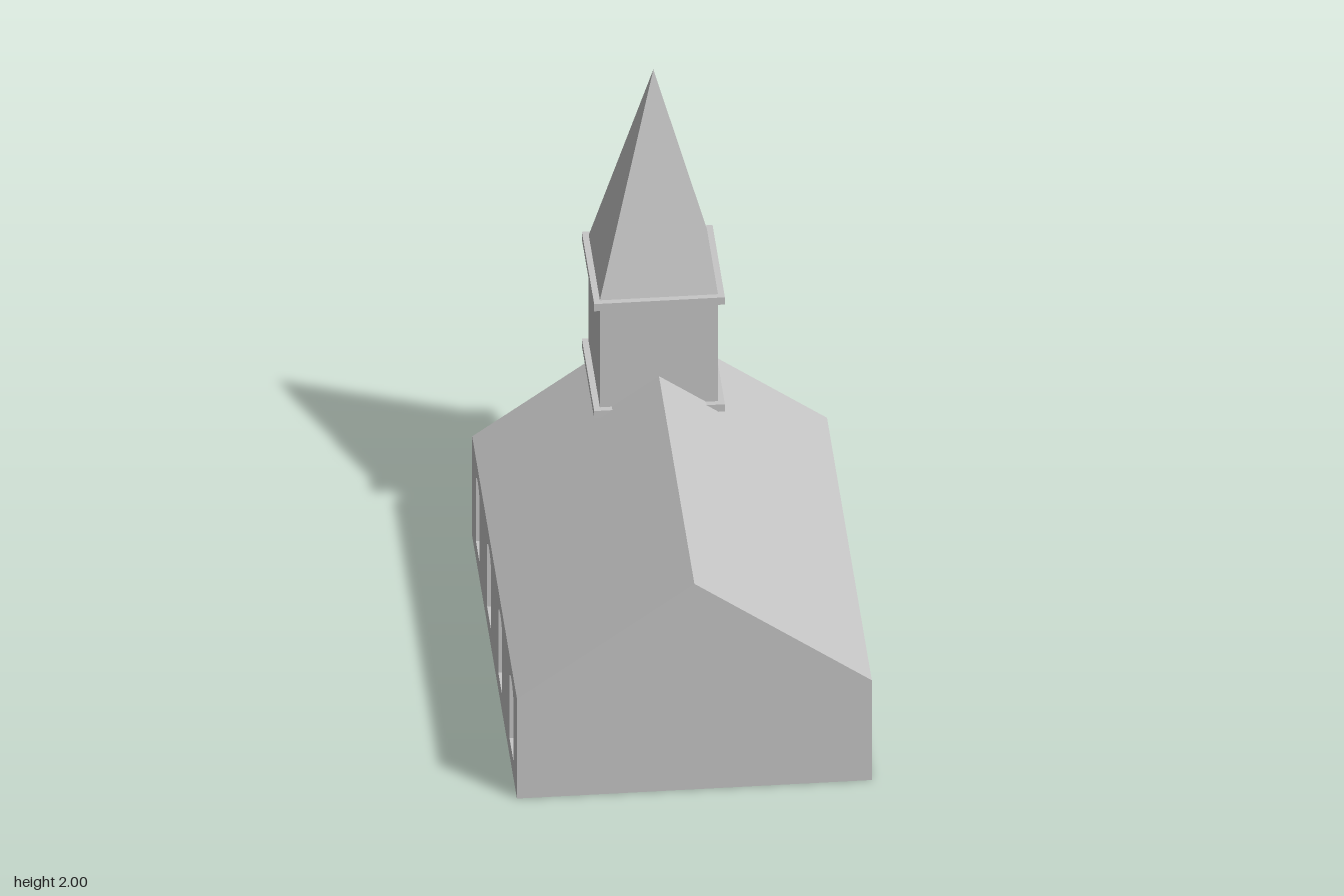
import * as THREE from 'three';

const HALF = 0.619, EAVES = 0.416, RIDGE = 0.857;   // nave section
const FRONT = 0.873, BACK = -0.78;                  // nave ends
const T = 0.03;                                     // wall thickness = recess depth
const TW = 0.206, TZ = -0.641;                      // tower half width and centre
const OPEN_W = 0.07, SPRING = 0.262, RISE = 0.03;   // arched opening

const stone = new THREE.MeshStandardMaterial({ color: 0xc6c6c6 });
stone.name = 'grey stone';

export function createModel() {
  const model = new THREE.Group();
  model.name = 'church';

  const add = (name, geometry, x = 0, y = 0, z = 0, turn = 0) => {
    const mesh = new THREE.Mesh(geometry, stone);
    mesh.name = name;
    mesh.position.set(x, y, z);
    mesh.rotation.y = turn;
    model.add(mesh);
    return mesh;
  };
  const box = (name, w, y0, y1, z0, z1) =>
    add(name, new THREE.BoxGeometry(w, y1 - y0, z1 - z0), 0, (y0 + y1) / 2, (z0 + z1) / 2);
  const polygon = (points) => new THREE.Shape(points.map(([x, y]) => new THREE.Vector2(x, y)));
  const slab = (shape, depth) =>
    new THREE.ExtrudeGeometry(shape, { depth, bevelEnabled: false, curveSegments: 8 });

  // Outline of an opening with a shallow arch, from lower left up and over to lower right
  const traceArch = (path, u, y) => {
    const r = (OPEN_W ** 2 + RISE ** 2) / (2 * RISE);
    const a = Math.asin(OPEN_W / r);
    path.lineTo(u - OPEN_W, y + SPRING);
    path.absarc(u, y + SPRING + RISE - r, r, Math.PI / 2 + a, Math.PI / 2 - a, true);
    path.lineTo(u + OPEN_W, y);
  };
  const archHole = (u, y) => {
    const path = new THREE.Path();
    path.moveTo(u - OPEN_W, y);
    traceArch(path, u, y);
    path.closePath();
    return path;
  };

  // Gable walls, the back one pierced by two windows
  const gable = () => polygon([[-HALF, 0], [HALF, 0], [HALF, EAVES], [0, RIDGE], [-HALF, EAVES]]);
  add('frontGable', slab(gable(), T), 0, 0, FRONT - T);
  const backShape = gable();
  backShape.holes.push(archHole(-0.413, 0.07), archHole(0.413, 0.07));
  add('backGable', slab(backShape, T), 0, 0, BACK + T, Math.PI);

  // Nave core, whose faces close the window recesses, and the roof above it
  const z0 = BACK + T, z1 = FRONT - T;
  box('naveCore', 2 * (HALF - T), 0, EAVES, z0, z1);
  add('roof', slab(polygon([[-HALF, EAVES], [HALF, EAVES], [0, RIDGE]]), z1 - z0), 0, 0, z0);

  // Side walls with four windows each
  for (const side of [1, -1]) {
    const a = -side * z0, b = -side * z1;
    const lo = Math.min(a, b), hi = Math.max(a, b);
    const shape = polygon([[lo, 0], [hi, 0], [hi, EAVES], [lo, EAVES]]);
    for (const z of [0.667, 0.255, -0.16, -0.573]) shape.holes.push(archHole(-side * z, 0.07));
    add(side > 0 ? 'leftWall' : 'rightWall', slab(shape, T), side * (HALF - T), 0, 0, side * Math.PI / 2);
  }

  // Tower core and its back wall with a doorway and a belfry window
  const top = 1.17;
  box('towerCore', 2 * TW, 0, top, TZ - TW + T, TZ + TW);
  const face = new THREE.Shape();
  face.moveTo(-TW, 0);
  face.lineTo(-OPEN_W, 0);
  traceArch(face, 0, 0.07);
  face.lineTo(OPEN_W, 0);
  face.lineTo(TW, 0);
  face.lineTo(TW, top);
  face.lineTo(-TW, top);
  face.closePath();
  face.holes.push(archHole(0, 0.82));
  add('towerBackWall', slab(face, T), 0, 0, TZ - TW + T, Math.PI);

  // Ledges around the tower
  const L = TW + 0.022;
  box('lowerLedge', 2 * L, 0.71, 0.74, TZ - L, TZ + L);
  box('upperLedge', 2 * L, 1.156, 1.186, TZ - L, TZ + L);

  // Four-sided spire
  const spire = new THREE.ConeGeometry(TW * Math.SQRT2, 2 - 1.186, 4, 1).toNonIndexed();
  spire.rotateY(Math.PI / 4);
  spire.computeVertexNormals();
  add('spire', spire, 0, (2 + 1.186) / 2, TZ);

  return model;
}
